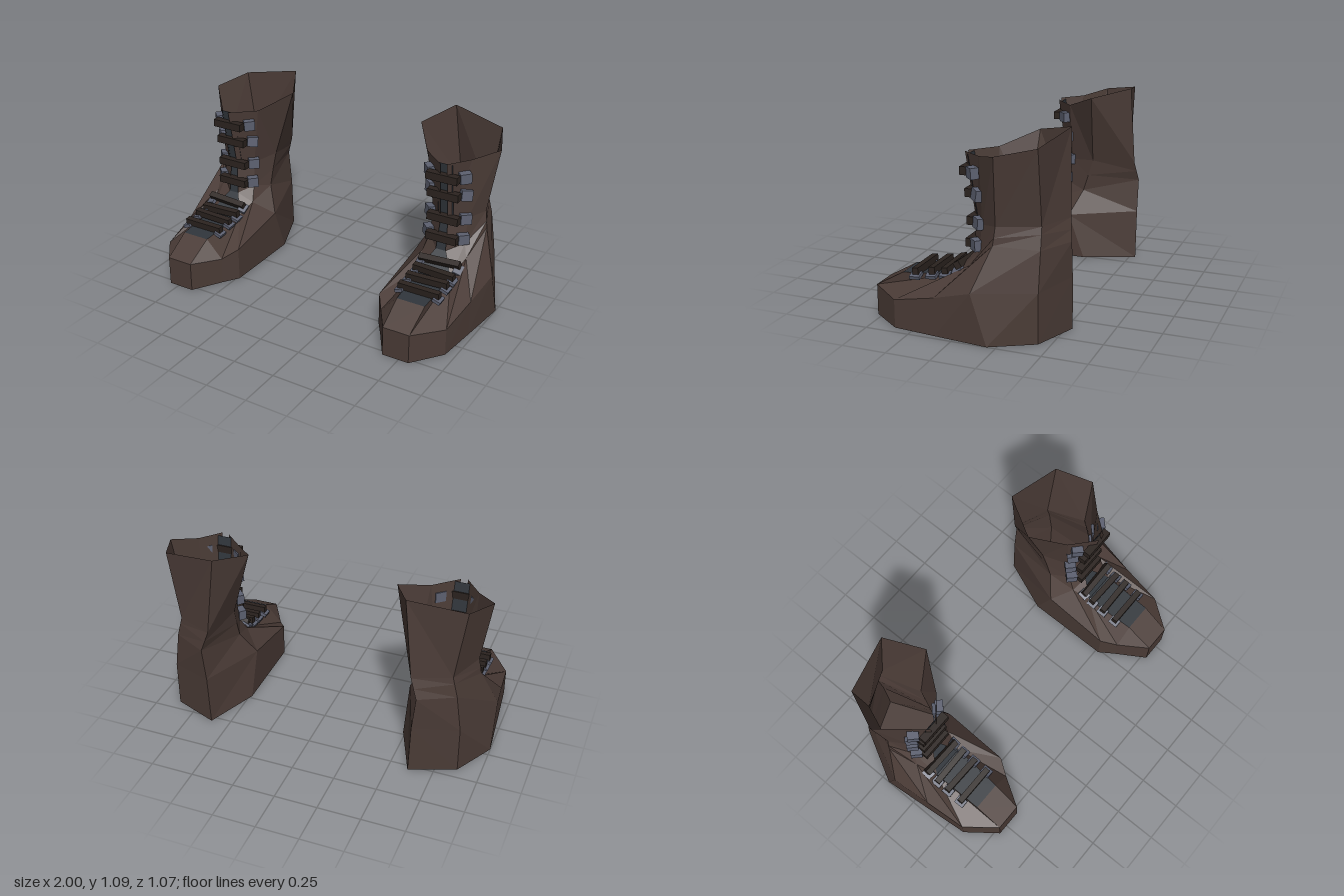
import * as THREE from 'three';

const material = (color) => new THREE.MeshStandardMaterial({ color, flatShading: true, side: THREE.DoubleSide });
const leather = material(0x4a3b36);
const strapLeather = material(0x2b231f);
const metal = material(0x5c6070);
const cloth = material(0x30353b);

// Skin a list of rings, each a list of [x, y, z] points in the same order
function skin(rings, closed) {
  const n = rings[0].length;
  const index = [];
  for (let r = 0; r < rings.length - 1; r++) {
    for (let i = 0; i < (closed ? n : n - 1); i++) {
      const a = r * n + i, b = r * n + (i + 1) % n;
      index.push(a, b, b + n, a, b + n, a + n);
    }
  }
  const geo = new THREE.BufferGeometry();
  geo.setAttribute('position', new THREE.Float32BufferAttribute(rings.flat(2), 3));
  geo.setIndex(index);
  const flat = geo.toNonIndexed();
  flat.computeVertexNormals();
  return flat;
}

function add(parent, name, geo, mat, position = [0, 0, 0], rotation = [0, 0, 0]) {
  const mesh = new THREE.Mesh(geo, mat);
  mesh.name = name;
  mesh.position.set(...position);
  mesh.rotation.set(...rotation);
  parent.add(mesh);
}

function createBoot() {
  const boot = new THREE.Group();

  // Foot rings run from the toe round the outer side, heel and inner side
  const sole = [
    [0.81, 0, 0.53], [0.945, 0, 0.355], [0.97, 0, 0.11], [1, 0, -0.2], [0.87, 0, -0.435],
    [0.61, 0, -0.535], [0.485, 0, -0.23], [0.485, 0, 0.27], [0.545, 0, 0.36], [0.65, 0, 0.53],
  ];
  const shoulder = [
    [0.81, 0.175, 0.53], [0.945, 0.16, 0.355], [0.972, 0.215, 0.11], [1, 0.28, -0.11], [0.87, 0.28, -0.435],
    [0.62, 0.3, -0.535], [0.485, 0.27, -0.13], [0.485, 0.2, 0.27], [0.545, 0.16, 0.36], [0.65, 0.175, 0.53],
  ];
  const instep = [
    [0.815, 0.27, 0.365], [0.82, 0.3, 0.06], [0.86, 0.38, -0.05], [0.91, 0.52, -0.2], [0.84, 0.5, -0.435],
    [0.64, 0.5, -0.535], [0.56, 0.42, -0.2], [0.59, 0.36, -0.04], [0.625, 0.3, 0.06], [0.645, 0.27, 0.365],
  ];
  const underside = sole.map(() => [0.73, 0, 0]);
  add(boot, 'foot', skin([underside, sole, shoulder, instep], true), leather);

  // Shaft rings run from one edge of the front slit to the other
  const ankle = [
    [0.745, 0.41, -0.02], [0.83, 0.45, -0.09], [0.905, 0.56, -0.205], [0.82, 0.58, -0.432],
    [0.62, 0.56, -0.525], [0.56, 0.52, -0.23], [0.61, 0.45, -0.09], [0.685, 0.41, -0.02],
  ];
  const waist = [
    [0.74, 0.58, -0.04], [0.83, 0.6, -0.11], [0.895, 0.62, -0.21], [0.81, 0.62, -0.43],
    [0.6, 0.62, -0.515], [0.555, 0.62, -0.26], [0.615, 0.6, -0.11], [0.695, 0.58, -0.04],
  ];
  const rim = [
    [0.745, 0.96, 0.02], [0.84, 0.965, -0.1], [0.955, 1, -0.225], [0.87, 1.04, -0.43],
    [0.55, 1.09, -0.495], [0.435, 1.035, -0.28], [0.57, 0.955, -0.1], [0.705, 0.955, 0.02],
  ];
  add(boot, 'shaft', skin([instep.slice(1, 9), ankle, waist, rim], false), leather);

  // Tongue: strip over the foot, then up behind the slit [left, right, y, z]
  const tongue = [
    [0.645, 0.815, 0.27, 0.365], [0.625, 0.82, 0.298, 0.06], [0.67, 0.76, 0.4, -0.035],
    [0.67, 0.765, 0.58, -0.06], [0.68, 0.77, 0.95, -0.005],
  ].map(([l, r, y, z]) => [[l, y, z], [r, y, z]]);
  add(boot, 'tongue', skin(tongue, false), cloth);

  // Shaft straps with a buckle at each end [y, strap z, buckle z]
  const buckle = new THREE.BoxGeometry(0.065, 0.06, 0.045);
  const strap = new THREE.BoxGeometry(0.19, 0.045, 0.045);
  for (const [y, zs, zb, tilt] of [
    [0.87, 0.002, -0.055, 0.1], [0.755, -0.025, -0.082, -0.3], [0.605, -0.035, -0.09, -0.1], [0.485, -0.028, -0.074, 0],
  ]) {
    add(boot, 'shaftStrap', strap, strapLeather, [0.715, y, zs]);
    for (const s of [-1, 1]) {
      add(boot, 'buckle', buckle, metal, [0.715 + s * 0.108, y, zb], [tilt * 0.5, s * 0.78, 0]);
    }
  }

  // Foot laces with a plate under each end [y, z, pitch, roll]
  const lace = new THREE.BoxGeometry(0.25, 0.04, 0.035);
  const plate = new THREE.BoxGeometry(0.05, 0.02, 0.06);
  for (const [y, z, pitch, roll] of [
    [0.3, 0.27, 0.1, 0], [0.315, 0.175, 0.1, 0.02], [0.327, 0.095, 0.15, -0.02], [0.362, 0.025, 0.6, 0.04],
  ]) {
    add(boot, 'lace', lace, strapLeather, [0.733, y, z], [pitch, roll, roll]);
    for (const s of [-1, 1]) {
      add(boot, 'lacePlate', plate, metal, [0.733 + s * 0.115, y - 0.024, z], [pitch * 0.8, 0, -s * 0.35]);
    }
  }
  return boot;
}

export function createModel() {
  const model = new THREE.Group();
  model.name = 'boots';
  // Matching pair mirrored across x = 0
  for (const [name, side] of [['leftBoot', 1], ['rightBoot', -1]]) {
    const boot = createBoot();
    boot.name = name;
    boot.scale.x = side;
    model.add(boot);
  }
  return model;
}
